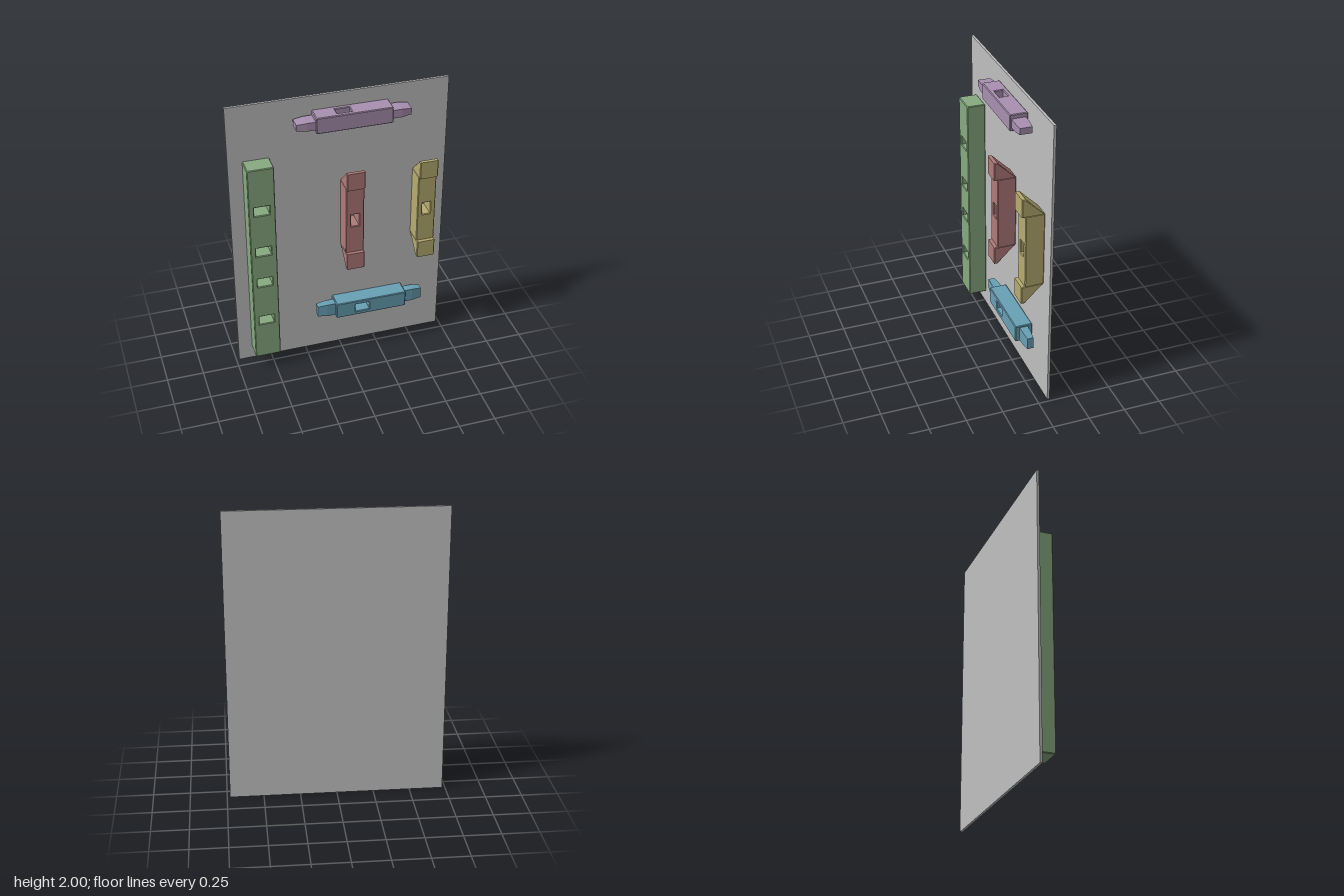
import * as THREE from 'three';

const BACK = -0.067; // front face of the backing panel
const BEVEL = 0.005;

function material(name, color) {
  const m = new THREE.MeshStandardMaterial({ color });
  m.name = name;
  return m;
}

function polygon(points, Type = THREE.Shape) {
  return new Type(points.map(([x, y]) => new THREE.Vector2(x, y)));
}

// Rectangle with slightly cut corners
function cutRect(x0, x1, y0, y1, c = BEVEL) {
  return polygon([
    [x0 + c, y0], [x1 - c, y0], [x1, y0 + c], [x1, y1 - c],
    [x1 - c, y1], [x0 + c, y1], [x0, y1 - c], [x0, y0 + c],
  ]);
}

function rectHole(x0, x1, y0, y1) {
  return polygon([[x0, y0], [x0, y1], [x1, y1], [x1, y0]], THREE.Path);
}

// Extrudes along z from z0 to z1 with chamfered rims
function prism(shape, z0, z1) {
  const geo = new THREE.ExtrudeGeometry(shape, {
    depth: z1 - z0 - 2 * BEVEL, bevelEnabled: true, bevelSegments: 1,
    bevelSize: BEVEL, bevelThickness: BEVEL, bevelOffset: -BEVEL,
  });
  return geo.translate(0, 0, z0 + BEVEL);
}

function add(group, name, geometry, mat) {
  const mesh = new THREE.Mesh(geometry, mat);
  mesh.name = name;
  group.add(mesh);
  return mesh;
}

// Peg at one end of a rail: straight at the root, tapered toward the tip
function tenonGeometry(side, length, height, depth) {
  const box = new THREE.BoxGeometry(length, height, depth, 2, 1, 1);
  const p = box.attributes.position;
  const inset = 0.007;
  for (let i = 0; i < p.count; i++) {
    if (p.getX(i) * side > 0.01) {
      p.setY(i, p.getY(i) - Math.sign(p.getY(i)) * inset);
      p.setZ(i, p.getZ(i) - Math.sign(p.getZ(i)) * inset);
    }
  }
  const geo = box.toNonIndexed();
  geo.computeVertexNormals();
  return geo;
}

function addTenons(group, x0, x1, y, height, depth, mat) {
  const length = 0.125, sink = 0.01;
  for (const side of [-1, 1]) {
    const geo = tenonGeometry(side, length + sink, height, depth);
    const root = side < 0 ? x0 : x1;
    geo.translate(root + side * (length - sink) / 2, y, -0.006);
    add(group, side < 0 ? 'rightTenon' : 'leftTenon', geo, mat);
  }
}

// Upright brace: mortised middle with a slanted hook at each end
function makeBrace(name, x, mat) {
  const group = new THREE.Group();
  group.name = name;
  const half = 0.0625, mid = 1.104, front = 0.06;
  const body = cutRect(x - half, x + half, 0.848, 1.36);
  body.holes.push(rectHole(x - 0.028, x + 0.028, 1.058, 1.149));
  add(group, 'braceBody', prism(body, BACK, front), mat);

  for (const s of [1, -1]) {
    // Profile in (-z, y), extruded along x
    const pts = [[-0.084, 0.251], [-BACK, 0.251], [-front, 0.376], [-0.084, 0.376]]
      .map(([u, v]) => [u, mid + s * v]);
    if (s < 0) pts.reverse();
    const geo = prism(polygon(pts), -half, half);
    geo.rotateY(Math.PI / 2).translate(x, 0, 0);
    add(group, s > 0 ? 'upperHook' : 'lowerHook', geo, mat);
  }
  return group;
}

export function createModel() {
  const model = new THREE.Group();
  model.name = 'jointPartsBoard';

  const grey = material('panelGrey', 0xbfbfbf);
  const green = material('postGreen', 0x88aa80);
  const red = material('braceRed', 0xb07b7a);
  const yellow = material('braceYellow', 0xb8ad70);
  const purple = material('railPurple', 0xa890b0);
  const blue = material('railBlue', 0x68a0b5);

  // Backing panel
  const panel = add(model, 'backPanel', new THREE.BoxGeometry(1.46, 2, 0.017), grey);
  panel.position.set(0, 1, BACK - 0.0085);

  // Tall post with four mortises
  const post = cutRect(-0.635, -0.46, 0.103, 1.607);
  for (const y of [0.414, 0.73, 0.979, 1.295]) {
    post.holes.push(rectHole(-0.599, -0.498, y - 0.032, y + 0.032));
  }
  add(model, 'post', prism(post, BACK, 0.06), green);

  // Two matching braces
  model.add(makeBrace('centreBrace', 0.0715, red));
  model.add(makeBrace('leftBrace', 0.567, yellow));

  // Upper rail, mortised from top to bottom; shape is in (x, -z)
  const upper = new THREE.Group();
  upper.name = 'upperRail';
  const upperShape = cutRect(-0.18, 0.323, -0.051, -BACK);
  upperShape.holes.push(rectHole(-0.037, 0.059, -0.02, 0.037));
  add(upper, 'railBody', prism(upperShape, 1.79, 1.902).rotateX(-Math.PI / 2), purple);
  addTenons(upper, -0.18, 0.323, 1.845, 0.057, 0.095, purple);
  model.add(upper);

  // Lower rail, mortised from front to back
  const lower = new THREE.Group();
  lower.name = 'lowerRail';
  const lowerShape = cutRect(-0.053, 0.447, 0.301, 0.419);
  lowerShape.holes.push(rectHole(0.082, 0.183, 0.331, 0.389));
  add(lower, 'railBody', prism(lowerShape, BACK, 0.051), blue);
  addTenons(lower, -0.053, 0.447, 0.36, 0.095, 0.055, blue);
  model.add(lower);

  return model;
}
